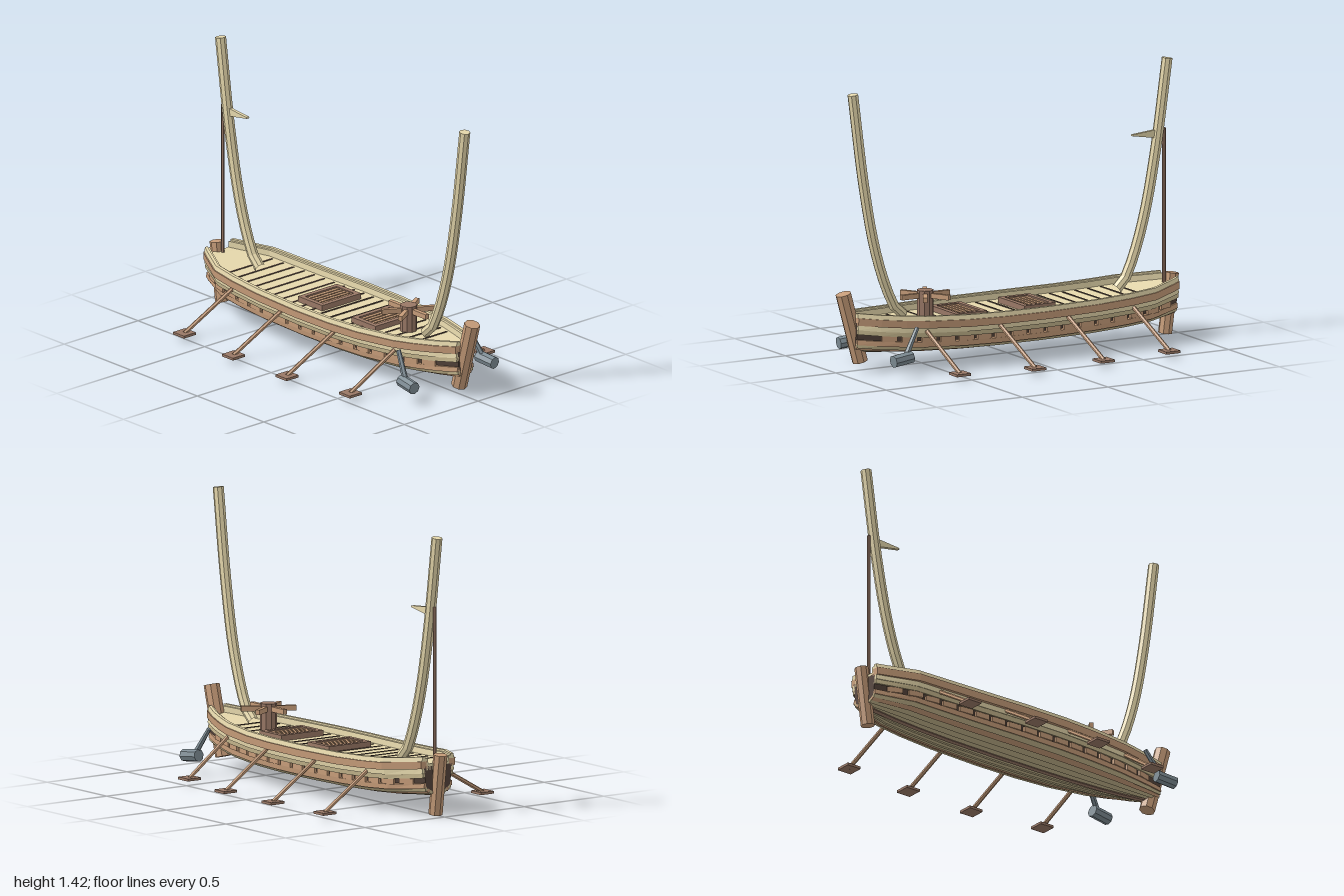
import * as THREE from 'three';

const mat = (name, color) => {
  const m = new THREE.MeshStandardMaterial({ color });
  m.name = name;
  return m;
};

export function createModel() {
  const model = new THREE.Group();
  model.name = 'boat';
  const tan = mat('pale timber', 0xe6d8ac);
  const olive = mat('weathered timber', 0xc4b58c);
  const brown = mat('warm timber', 0xc69c79);
  const umber = mat('dark timber', 0x997866);
  const dark = mat('seam', 0x54433a);
  const iron = mat('iron', 0x7f8d95);

  const add = (name, geo, material, parent = model) => {
    const g = geo.index ? geo.toNonIndexed() : geo;
    g.computeVertexNormals();
    const mesh = new THREE.Mesh(g, material);
    mesh.name = name;
    parent.add(mesh);
    return mesh;
  };
  const box = (name, material, size, pos, parent) => {
    const mesh = add(name, new THREE.BoxGeometry(...size), material, parent);
    mesh.position.set(...pos);
    return mesh;
  };
  // Straight faceted rod from a to b
  const rod = (name, material, a, b, ra, rb = ra, sides = 8) => {
    const p = new THREE.Vector3(...a), d = new THREE.Vector3(...b).sub(p);
    const mesh = add(name, new THREE.CylinderGeometry(rb, ra, d.length(), sides), material);
    mesh.position.copy(p).addScaledVector(d, 0.5);
    mesh.quaternion.setFromUnitVectors(new THREE.Vector3(0, 1, 0), d.normalize());
    return mesh;
  };

  // Half breadth of the hull by station, and upward sweep at the ends
  const plan = [[-0.945, 0.1], [-0.9, 0.125], [-0.75, 0.203], [-0.6, 0.222], [-0.4, 0.238], [-0.1, 0.25],
    [0.15, 0.247], [0.35, 0.23], [0.57, 0.19], [0.68, 0.155], [0.8, 0.11], [0.905, 0.06]];
  const stations = plan.map(p => p[0]);
  const breadth = x => {
    let i = 0;
    while (i < plan.length - 2 && x > plan[i + 1][0]) i++;
    const [[x0, w0], [x1, w1]] = [plan[i], plan[i + 1]];
    return w0 + (w1 - w0) * (x - x0) / (x1 - x0);
  };
  const rise = x => 0.038 * Math.abs(x / 0.93) ** 3;

  // Solid swept along the hull from a closed [z, y] section
  const sweep = (name, material, section) => {
    const rows = stations.map(x => section(breadth(x)).map(([z, y]) => [x, y + rise(x), z]));
    const r = rows[Math.floor(rows.length / 2)], n = r.length;
    const area = r.reduce((s, p, j) => {
      const q = r[(j + 1) % n];
      return s + p[2] * q[1] - q[2] * p[1];
    }, 0);
    if (area < 0) rows.forEach(row => row.reverse());
    const v = [];
    const tri = (...ps) => ps.forEach(p => v.push(...p));
    for (let i = 0; i < rows.length - 1; i++) {
      for (let j = 0; j < n; j++) {
        const k = (j + 1) % n;
        tri(rows[i][j], rows[i + 1][j], rows[i + 1][k]);
        tri(rows[i][j], rows[i + 1][k], rows[i][k]);
      }
    }
    const a = rows[0], b = rows[rows.length - 1];
    for (let j = 1; j < n - 1; j++) {
      tri(a[0], a[j], a[j + 1]);
      tri(b[0], b[j + 1], b[j]);
    }
    const g = new THREE.BufferGeometry();
    g.setAttribute('position', new THREE.Float32BufferAttribute(v, 3));
    return add(name, g, material);
  };

  // Hull core and overlapping strakes
  const profile = [[0.95, 0.212], [0.91, 0.187], [0.87, 0.164], [0.84, 0.134], [0.8, 0.11],
    [0.7, 0.096], [0.55, 0.088], [0.38, 0.082], [0.2, 0.079], [0, 0.077]];
  sweep('hullCore', dark, w => {
    const half = profile.map(([f, y]) => [w * f * 0.94, y + 0.008]);
    return [...half, ...half.slice(0, -1).reverse().map(([z, y]) => [-z, y])];
  });
  const strakeMats = [tan, olive, null, brown, olive, brown, olive, olive, olive];
  for (const s of [1, -1]) {
    strakeMats.forEach((m, i) => {
      if (!m) return;
      const [f0, y0] = profile[i], [f1, y1] = profile[i + 1];
      sweep('strake', m, w => {
        const dz = w * (f1 - f0), dy = y1 - y0, l = Math.hypot(dz, dy);
        const nz = -dy / l, ny = dz / l;
        const p = (f, y, o) => [s * (w * f + nz * o), y + ny * o];
        return [p(f0, y0, 0.002), p(f1, y1, 0.009), p(f1, y1, -0.012), p(f0, y0, -0.012)];
      });
    });
    // Short blocks in the open course, separated by dark gaps
    for (let x = -0.85; x < 0.8; x += 0.1) {
      const slope = (breadth(x + 0.04) - breadth(x - 0.04)) / 0.08;
      const block = box('courseBlock', brown, [0.08, 0.029, 0.014], [x, 0.149 + rise(x), s * breadth(x) * 0.835]);
      block.rotation.y = -Math.atan(s * slope * 0.835);
    }
    // Bulwark: wale, inner rail and rail cap
    sweep('wale', brown, w => [[s * (w + 0.006), 0.21], [s * (w + 0.008), 0.248],
      [s * (w - 0.03), 0.248], [s * (w - 0.034), 0.21]]);
    sweep('innerRail', tan, w => [[s * (w - 0.024), 0.22], [s * (w - 0.02), 0.262],
      [s * (w - 0.036), 0.262], [s * (w - 0.04), 0.22]]);
    sweep('railCap', tan, w => [[s * (w + 0.002), 0.246], [s * (w - 0.004), 0.271],
      [s * (w - 0.022), 0.271], [s * (w - 0.022), 0.246]]);
  }
  sweep('keel', umber, () => [[0.014, 0.066], [0.014, 0.09], [-0.014, 0.09], [-0.014, 0.066]]);

  // Deck with dark plank seams
  sweep('deck', tan, w => {
    const d = Math.max(w - 0.025, 0.02);
    return [[d, 0.2], [d, 0.232], [-d, 0.232], [-d, 0.2]];
  });
  for (let i = 0; i < 20; i++) {
    const x = -0.715 + i * 0.0712;
    box('deckSeam', dark, [0.011, 0.006, 2 * (breadth(x) - 0.055)], [x, 0.232 + rise(x), 0]);
  }

  // End posts
  rod('sternPost', brown, [-0.923, 0.006, 0], [-0.964, 0.315, 0], 0.036);
  rod('stemPost', brown, [0.858, 0.047, 0], [0.956, 0.402, 0], 0.041);

  // Curved masts
  const mast = (name, pts) => {
    const curve = new THREE.CatmullRomCurve3(pts.map(p => new THREE.Vector3(p[0], p[1], 0)));
    add(name, new THREE.TubeGeometry(curve, 16, 0.028, 8), tan);
    const e = curve.getTangent(1).multiplyScalar(0.002), t = pts[pts.length - 1];
    rod(name + 'Top', tan, [t[0] - e.x, t[1] - e.y, 0], [t[0] + e.x, t[1] + e.y, 0], 0.028);
  };
  mast('aftMast', [[-0.64, 0.262], [-0.675, 0.29], [-0.73, 0.4], [-0.8, 0.62], [-0.867, 0.95], [-0.935, 1.417]]);
  mast('foreMast', [[0.605, 0.262], [0.645, 0.29], [0.702, 0.4], [0.773, 0.62], [0.837, 0.95], [0.9, 1.417]]);
  rod('aftPole', umber, [-0.917, 0.24, 0], [-0.917, 1.062, 0], 0.009, 0.009, 6);
  const peg = new THREE.Shape([[-0.865, 1.015], [-0.728, 1.038], [-0.732, 1.045], [-0.865, 1.057]]
    .map(p => new THREE.Vector2(...p)));
  const pegGeo = new THREE.ExtrudeGeometry(peg, { depth: 0.018, bevelEnabled: false });
  add('mastPeg', pegGeo.translate(0, 0, -0.009), tan);

  // Grated hatches
  for (const x of [-0.116, 0.285]) {
    const hatch = new THREE.Group();
    hatch.name = 'hatch';
    hatch.position.set(x, 0.245, 0);
    model.add(hatch);
    box('hatchWell', umber, [0.15, 0.01, 0.23], [0, -0.006, 0], hatch);
    for (const s of [1, -1]) {
      box('hatchSide', umber, [0.026, 0.034, 0.264], [s * 0.078, 0, 0], hatch);
      box('hatchEnd', umber, [0.13, 0.034, 0.026], [0, 0, s * 0.119], hatch);
    }
    for (let i = -2; i <= 2; i++) box('hatchSlat', brown, [0.018, 0.014, 0.212], [i * 0.026, 0.004, 0], hatch);
  }

  // Capstan with three crossed bars
  rod('capstanDrum', umber, [0.478, 0.225, 0], [0.478, 0.375, 0], 0.043, 0.043, 10);
  for (let i = 0; i < 3; i++) {
    const bar = box('capstanBar', brown, [0.28, 0.026, 0.022], [0.478, 0.348, 0]);
    bar.rotation.y = i * Math.PI / 3;
  }

  // Outrigger legs, pads and anchor hammers on both sides
  const legs = [[-0.656, 0.495], [-0.257, 0.523], [0.142, 0.52], [0.54, 0.45]];
  for (const s of [1, -1]) {
    for (const [x, z] of legs) {
      rod('outriggerLeg', brown, [x, 0.03, s * z], [x + 0.037, 0.205, s * (breadth(x) - 0.01)], 0.011, 0.011, 6);
      box('outriggerPad', umber, [0.082, 0.013, 0.082], [x, 0.028, s * z]);
    }
    rod('anchorShaft', iron, [0.663, 0.24, s * 0.235], [0.748, 0.1, s * 0.262], 0.012, 0.016, 6);
    rod('anchorHead', iron, [0.713, 0.1, s * 0.262], [0.823, 0.088, s * 0.272], 0.032, 0.032, 8);
  }
  return model;
}
